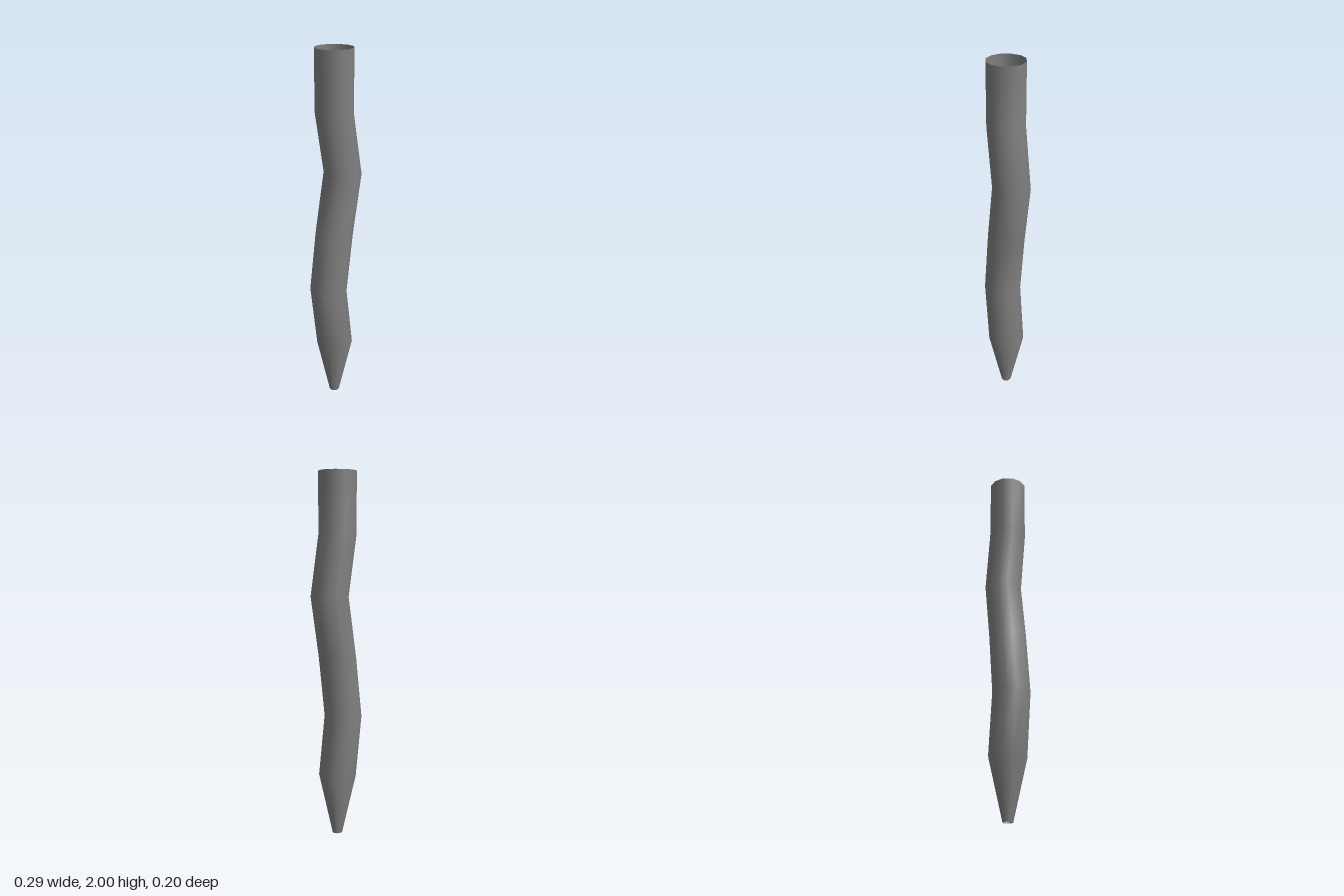
import * as THREE from 'three';
import { mergeVertices } from 'three/addons/utils/BufferGeometryUtils.js';

// Ring centres along x and ring radii, evenly spaced from bottom to top
const HEIGHT = 2;
const CENTRES = [-0.0075, -0.0075, -0.047, -0.0075, 0.046, -0.0075, -0.0075];
const RADII = [0.0275, 0.1035, 0.1035, 0.1035, 0.1035, 0.1035, 0.1035];

export function createModel() {
  const group = new THREE.Group();
  group.name = 'crookedStake';

  // Open twelve-sided tube, turned so flat sides face front and side
  const rows = CENTRES.length - 1;
  let geometry = new THREE.CylinderGeometry(1, 1, HEIGHT, 12, rows, true, Math.PI / 12);
  geometry.translate(0, HEIGHT / 2, 0);

  // Shift and scale each ring to form the bends and the tapered tip
  const pos = geometry.attributes.position;
  for (let i = 0; i < pos.count; i++) {
    const row = Math.round((pos.getY(i) / HEIGHT) * rows);
    pos.setX(i, CENTRES[row] + pos.getX(i) * RADII[row]);
    pos.setZ(i, pos.getZ(i) * RADII[row]);
  }

  // Weld the seam for smooth shading all the way round
  geometry.deleteAttribute('uv');
  geometry.deleteAttribute('normal');
  geometry = mergeVertices(geometry);
  geometry.computeVertexNormals();

  const material = new THREE.MeshStandardMaterial({ color: 0x808080, side: THREE.DoubleSide });
  const shaft = new THREE.Mesh(geometry, material);
  shaft.name = 'shaft';
  group.add(shaft);
  return group;
}
